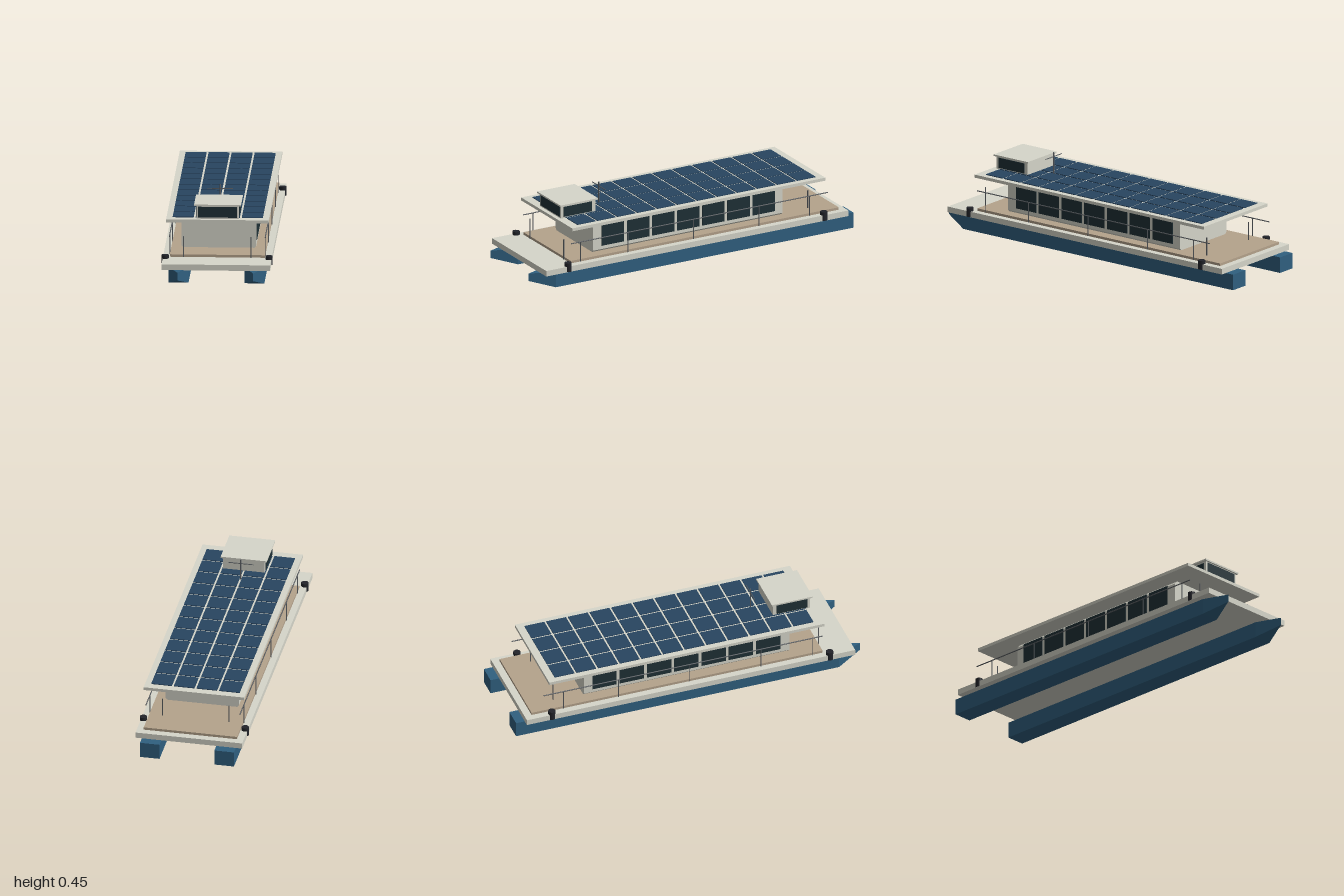
import * as THREE from 'three';

const mat = (color) => new THREE.MeshStandardMaterial({ color, roughness: 0.8 });

export function createModel() {
  const boat = new THREE.Group();
  boat.name = 'solarHouseboat';

  const paint = mat(0xd6d6ca), wood = mat(0xb5a38c), glass = mat(0x1f3036);
  const panel = mat(0x284560), metal = mat(0x5c6064), rubber = mat(0x22242a);
  const hullPaint = mat(0x306080);
  hullPaint.flatShading = true;

  function add(name, geometry, material, parent = boat) {
    const mesh = new THREE.Mesh(geometry, material);
    mesh.name = name;
    parent.add(mesh);
    return mesh;
  }
  // Box given by its min and max along each axis
  function box(name, material, [x0, x1], [y0, y1], [z0, z1], parent) {
    const g = new THREE.BoxGeometry(x1 - x0, y1 - y0, z1 - z0);
    g.translate((x0 + x1) / 2, (y0 + y1) / 2, (z0 + z1) / 2);
    return add(name, g, material, parent);
  }
  // Upright round bar
  function post(name, material, x, z, y0, y1, r, parent, sides = 10) {
    const g = new THREE.CylinderGeometry(r, r, y1 - y0, sides);
    g.translate(x, (y0 + y1) / 2, z);
    return add(name, g, material, parent);
  }

  // Pontoon hulls: a box whose bow is pinched to an upright stem and raked below
  function hullGeometry() {
    const g = new THREE.BoxGeometry(0.108, 0.088, 2, 1, 1, 2).toNonIndexed();
    const p = g.attributes.position;
    for (let i = 0; i < p.count; i++) {
      const z = p.getZ(i), low = p.getY(i) < 0;
      let y = low ? 0 : 0.088;
      if (z > 0.5) {
        p.setX(i, 0);
        if (low) y = 0.045;
      } else if (z > -0.5) p.setZ(i, 0.86);
      p.setY(i, y);
    }
    g.computeVertexNormals();
    return g;
  }
  for (const s of [-1, 1]) {
    add(s > 0 ? 'leftHull' : 'rightHull', hullGeometry(), hullPaint).position.x = s * 0.206;
  }

  // Decks
  box('deck', paint, [-0.295, 0.295], [0.088, 0.12], [-0.95, 0.94]);
  box('woodDeck', wood, [-0.258, 0.258], [0.12, 0.134], [-0.91, 0.765]);

  // Cabin: chamfered section extruded along the boat
  const w = 0.203, c = 0.019, y0 = 0.125, y1 = 0.305;
  const section = new THREE.Shape([
    [-w + c, y0], [w - c, y0], [w, y0 + c], [w, y1 - c],
    [w - c, y1], [-w + c, y1], [-w, y1 - c], [-w, y0 + c],
  ].map(([x, y]) => new THREE.Vector2(x, y)));
  const cabin = new THREE.ExtrudeGeometry(section, { depth: 1.185, bevelEnabled: false });
  cabin.translate(0, 0, -0.59);
  add('cabin', cabin, paint);

  // Seven windows on each side
  const windows = new THREE.Group();
  windows.name = 'cabinWindows';
  boat.add(windows);
  for (const s of [-1, 1]) {
    for (let i = -3; i <= 3; i++) {
      const z = i * 0.157;
      const g = new THREE.BoxGeometry(0.006, 0.126, 0.14);
      g.translate(s * 0.202, 0.226, z);
      add('cabinWindow', g, glass, windows);
    }
  }

  // Roof with its grid of solar panels
  box('roof', paint, [-0.278, 0.278], [0.312, 0.329], [-0.815, 0.768]);
  const panels = new THREE.Group();
  panels.name = 'solarPanels';
  boat.add(panels);
  for (let col = 0; col < 4; col++) {
    for (let row = 0; row < 12; row++) {
      const x = (col - 1.5) * 0.125, z = -0.715 + row * 0.125;
      box('solarPanel', panel, [x - 0.057, x + 0.057], [0.328, 0.333],
        [z - 0.057, z + 0.057], panels);
    }
  }

  // Wheelhouse
  const house = new THREE.Group();
  house.name = 'wheelhouse';
  boat.add(house);
  box('wheelhouseBody', paint, [-0.115, 0.115], [0.329, 0.402], [0.53, 0.745], house);
  box('wheelhouseRoof', paint, [-0.127, 0.127], [0.401, 0.41], [0.52, 0.755], house);
  box('wheelhouseFrontWindow', glass, [-0.105, 0.105], [0.337, 0.396], [0.74, 0.748], house);
  for (const s of [-1, 1]) {
    const x = s * 0.115;
    box('wheelhouseSideWindow', glass, [x - 0.003, x + 0.003], [0.337, 0.394],
      [0.552, 0.728], house);
  }

  // Mast with crossbar
  post('mast', metal, 0, 0.442, 0.329, 0.45, 0.004);
  const bar = new THREE.CylinderGeometry(0.0025, 0.0025, 0.14, 10);
  bar.rotateZ(Math.PI / 2);
  add('mastCrossbar', bar, metal).position.set(0, 0.426, 0.442);

  // Railings, gate posts and round fenders, mirrored
  for (const s of [-1, 1]) {
    const rail = new THREE.Group();
    rail.name = s > 0 ? 'leftRailing' : 'rightRailing';
    boat.add(rail);
    const g = new THREE.CylinderGeometry(0.003, 0.003, 1.605, 10);
    g.rotateX(Math.PI / 2);
    add('handrail', g, metal, rail).position.set(s * 0.26, 0.234, -0.038);
    for (const z of [0.705, 0.41, 0, -0.41, -0.727]) {
      post('railPost', metal, s * 0.26, z, 0.12, 0.234, 0.0025, rail);
    }
    for (const z of [0.767, -0.759]) {
      post('gatePost', metal, s * 0.184, z, 0.12, 0.236, 0.003, rail);
    }
    for (const z of [0.797, -0.802]) {
      post('fender', rubber, s * 0.282, z, 0.09, 0.139, 0.02, boat, 16);
    }
  }

  return boat;
}
